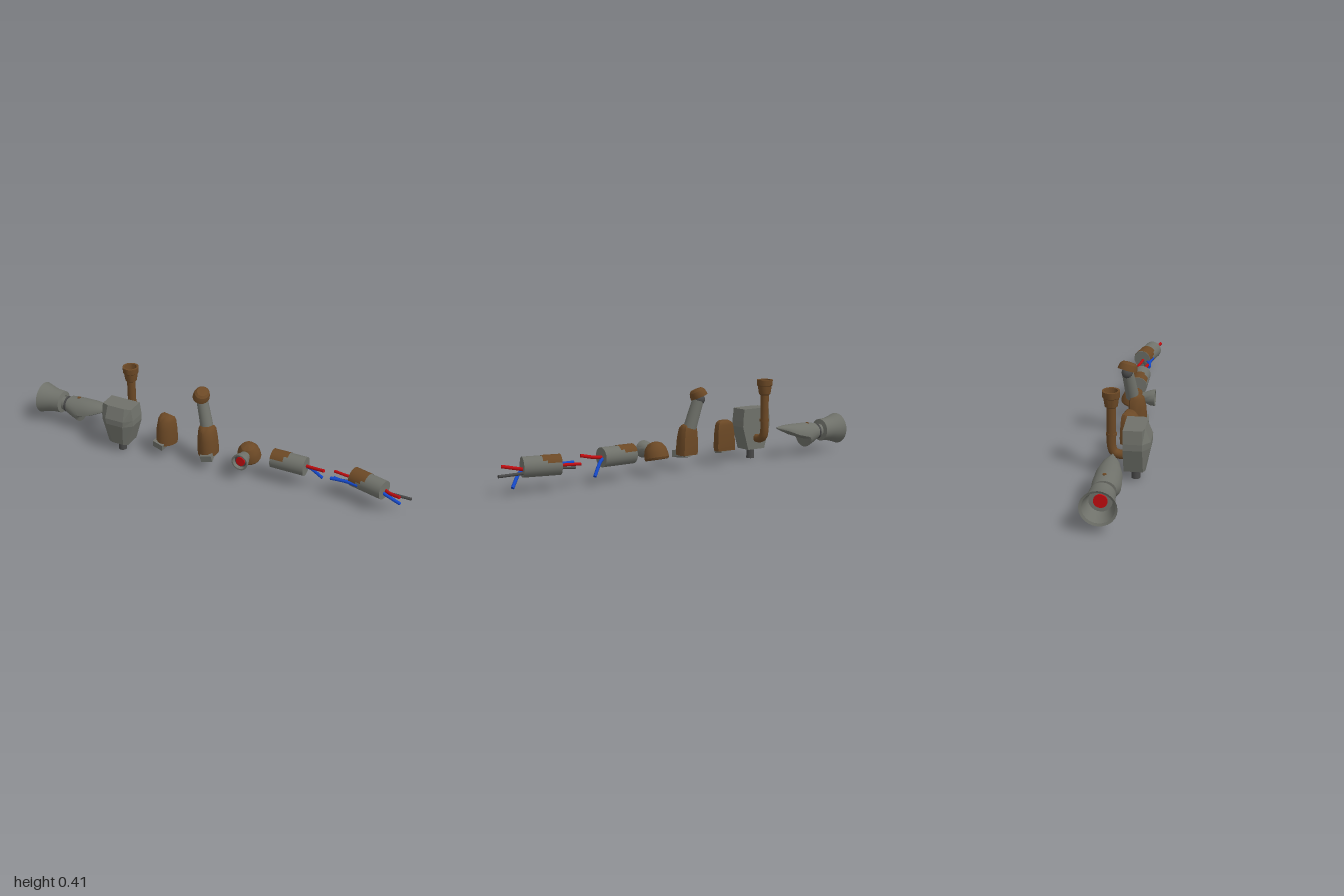
import * as THREE from 'three';
import { toCreasedNormals } from 'three/addons/utils/BufferGeometryUtils.js';

const paint = (name, color) => {
  const m = new THREE.MeshStandardMaterial({ color, side: THREE.DoubleSide });
  m.name = name;
  return m;
};
const V = (x, y, z) => new THREE.Vector3(x, y, z);

export function createModel() {
  const root = new THREE.Group();
  const gray = paint('steel gray', 0x6f716a), dark = paint('dark steel', 0x484848);
  const brown = paint('rust brown', 0x6b4825), red = paint('red', 0xc00c10), blue = paint('blue', 0x1448c8);

  const add = (name, geo, mat, pos = [0, 0, 0], rot = [0, 0, 0], parent = root) => {
    const m = new THREE.Mesh(geo, mat);
    m.name = name;
    m.position.set(...pos);
    m.rotation.set(...rot);
    parent.add(m);
    return m;
  };
  const group = (name, pos, rot = [0, 0, 0]) => {
    const g = new THREE.Group();
    g.name = name;
    g.position.set(...pos);
    g.rotation.set(...rot);
    root.add(g);
    return g;
  };
  const alongX = [0, 0, -Math.PI / 2];
  const cyl = (r1, r2, h, n = 20) => new THREE.CylinderGeometry(r1, r2, h, n);
  const lathe = (pts, n = 24) => toCreasedNormals(
    new THREE.LatheGeometry(pts.map(p => new THREE.Vector2(...p)), n).toNonIndexed(), 0.5);
  const wire = (name, mat, pts, r) => {
    const curve = new THREE.CatmullRomCurve3(pts.map(p => V(...p)));
    add(name, new THREE.TubeGeometry(curve, 12, r, 8), mat);
    // closed wire end
    const cap = add(name + 'End', new THREE.CircleGeometry(r, 8), mat, curve.getPoint(1).toArray());
    cap.quaternion.setFromUnitVectors(V(0, 0, 1), curve.getTangent(1));
  };

  // Skin between rings that run counter-clockwise around the loft direction
  const loft = (rings, crease = 0.6) => {
    const p = [], n = rings[0].length;
    const tri = (...v) => v.forEach(q => p.push(q.x, q.y, q.z));
    for (let i = 0; i < rings.length - 1; i++)
      for (let j = 0; j < n; j++) {
        const k = (j + 1) % n, a = rings[i], b = rings[i + 1];
        tri(a[j], a[k], b[k]);
        tri(a[j], b[k], b[j]);
      }
    [rings[0], rings[rings.length - 1]].forEach((r, end) => {
      const c = r.reduce((s, q) => s.add(q), V(0, 0, 0)).divideScalar(n);
      for (let j = 0; j < n; j++) {
        const k = (j + 1) % n;
        end ? tri(c, r[j], r[k]) : tri(c, r[k], r[j]);
      }
    });
    const g = new THREE.BufferGeometry();
    g.setAttribute('position', new THREE.Float32BufferAttribute(p, 3));
    g.computeVertexNormals();
    return toCreasedNormals(g, crease);
  };

  // Pointed arm cover with a flared nozzle
  const arm = group('nozzleArm', [0, 0.119, -0.04]);
  add('nozzle', lathe([[0, 0.07], [0.05, 0.07], [0.057, 0.04], [0.069, 0.005], [0.08, 0],
    [0.069, 0.035], [0.06, 0.07], [0.057, 0.12], [0.035, 0.125]]), gray, [-1, 0, 0], alongX, arm);
  add('nozzleCore', cyl(0.03, 0.03, 0.008), red, [-0.933, 0, 0], alongX, arm);
  add('neck', cyl(0.038, 0.034, 0.06), gray, [-0.855, -0.005, 0], alongX, arm);
  add('neckRing', cyl(0.041, 0.041, 0.01), dark, [-0.852, -0.005, 0], alongX, arm);
  const cover = [ // x, half width, top, middle, bottom
    [-0.835, 0.052, 0.16, 0.117, 0.072], [-0.8, 0.06, 0.164, 0.11, 0.055],
    [-0.768, 0.063, 0.167, 0.1, 0.04], [-0.755, 0.063, 0.168, 0.1, 0.086],
    [-0.69, 0.058, 0.168, 0.115, 0.106], [-0.63, 0.038, 0.166, 0.138, 0.13],
    [-0.577, 0.003, 0.16, 0.156, 0.152]];
  add('armCover', loft(cover.map(([x, w, top, mid, bot]) => Array.from({ length: 20 }, (_, j) => {
    const t = j / 20 * Math.PI * 2, s = Math.sin(t);
    return V(x, mid + s * (s > 0 ? top - mid : mid - bot), -0.04 - w * Math.cos(t));
  }))), gray);
  add('rustSpot', cyl(0.009, 0.009, 0.004, 10), brown, [-0.785, 0.165, -0.045]);

  // Faceted torso on a post
  const torso = [ // y, half width, front half width, front z
    [0.052, 0.053, 0.03, 0.095], [0.17, 0.088, 0.046, 0.12],
    [0.2, 0.088, 0.05, 0.12], [0.262, 0.08, 0.047, 0.095]];
  add('torso', loft(torso.map(([y, w, f, z]) =>
    [[w, 0], [-w, 0], [-w, 0.086], [-f, z], [f, z], [w, 0.086]].map(([x, q]) => V(x - 0.475, y, q))), 0.1), gray);
  add('torsoPost', cyl(0.02, 0.02, 0.06), dark, [-0.475, 0.03, 0.048]);

  // Exhaust stack behind the torso
  add('exhaustPipe', new THREE.TubeGeometry(new THREE.CatmullRomCurve3(
    [V(-0.475, 0.35, -0.06), V(-0.475, 0.25, -0.06), V(-0.475, 0.15, -0.06), V(-0.475, 0.122, -0.05),
      V(-0.475, 0.11, -0.025), V(-0.475, 0.11, 0.01)]), 30, 0.021, 14), brown);
  add('pipeCollar', cyl(0.024, 0.024, 0.012), brown, [-0.475, 0.208, -0.06]);
  add('exhaustCup', lathe([[0.02, 0.335], [0.029, 0.342], [0.035, 0.382], [0.039, 0.386],
    [0.04, 0.414], [0.03, 0.414], [0.025, 0.37], [0, 0.37]]), brown, [-0.475, 0, -0.06]);
  add('cupHole', cyl(0.024, 0.024, 0.004), dark, [-0.475, 0.372, -0.06]);

  // Shin shells: flat back, rounded front, foot block below
  const shell = [ // y, half width, back z, front z
    [0.072, 0.052, -0.04, 0.046], [0.1, 0.053, -0.042, 0.046], [0.155, 0.05, -0.04, 0.042],
    [0.2, 0.044, -0.038, 0.032], [0.215, 0.037, -0.034, 0.018], [0.222, 0.025, -0.026, 0.004]];
  const shinShell = (name, pos, rot, side) => {
    const g = group(name, pos, rot);
    add('shell', loft(shell.map(([y, w, b, f]) => {
      const ring = [V(w * 0.9, y, b), V(-w * 0.9, y, b)];
      for (let j = 0; j <= 12; j++) {
        const t = Math.PI * (1 - j / 12);
        ring.push(V(w * Math.cos(t), y, b + 0.015 + (f - b - 0.015) * Math.sin(t)));
      }
      return ring;
    })), brown, [0, 0, 0], [0, 0, 0], g);
    add('footBlock', new THREE.BoxGeometry(0.058, 0.034, 0.07), gray, [side * 0.008, 0.075, 0.018], [0.15, 0, side * 0.15], g);
  };
  shinShell('rightShin', [-0.257, 0, 0], [0, -0.18, -0.02], -1);
  shinShell('leftShin', [-0.018, 0, 0], [0, 0.18, 0.04], 1);

  // Thigh rod and knee cap above the left shin
  const low = V(-0.033, 0.205, -0.022), high = V(-0.068, 0.338, -0.04);
  const thigh = add('thigh', cyl(0.028, 0.032, low.distanceTo(high)), gray, low.clone().lerp(high, 0.5).toArray());
  thigh.quaternion.setFromUnitVectors(V(0, 1, 0), high.clone().sub(low).normalize());
  add('kneeJoint', new THREE.SphereGeometry(0.027, 16, 10), dark, [-0.076, 0.342, -0.042]);
  const cap = add('kneeCap', lathe([[0, 0], [0.047, 0], [0.046, 0.014], [0.041, 0.03], [0.03, 0.04], [0, 0.043]]),
    brown, [-0.075, 0.354, -0.042], [0.25, 0, -0.32]);
  cap.scale.set(0.86, 1, 1);

  // Dome with a forward-facing eye socket
  add('dome', lathe([[0, 0], [0.054, 0], [0.059, 0.009], [0.057, 0.03], [0.05, 0.055], [0.034, 0.076], [0.016, 0.084], [0, 0.086]]),
    brown, [0.182, 0.076, -0.052], [0.25, 0, 0]);
  add('socket', lathe([[0.024, 0], [0.03, 0.03], [0.039, 0.052], [0.042, 0.075], [0.035, 0.075], [0.03, 0.055], [0, 0.055]]),
    gray, [0.182, 0.112, -0.01], [Math.PI / 2, 0, 0]);
  add('socketFloor', cyl(0.031, 0.031, 0.004), dark, [0.182, 0.112, 0.047], [Math.PI / 2, 0, 0]);
  add('eye', cyl(0.023, 0.023, 0.008), red, [0.182, 0.112, 0.052], [Math.PI / 2, 0, 0]);

  // Limb casings with stepped rust plates; angles run from the back over the top to the front
  const limb = (name, pos, rot, plates) => {
    const g = group(name, pos, rot), len = 0.17, r = 0.046;
    add('casing', cyl(r, r, len, 24), gray, [0, 0, 0], alongX, g);
    plates.forEach(([l, from, to]) => add('rustPlate',
      new THREE.CylinderGeometry(r + 0.0015, r + 0.0015, l, 16, 1, true, Math.PI * from, Math.PI * (to - from)),
      brown, [(l - len) / 2, 0, 0], alongX, g));
  };
  limb('upperLimb', [0.397, 0.118, -0.038], [0, 0, 0], [[0.066, 1.12, 1.86], [0.085, 1.22, 1.68]]);
  wire('redWire', red, [[0.47, 0.118, -0.045], [0.52, 0.122, -0.035], [0.58, 0.134, -0.018]], 0.008);
  wire('blueWire', blue, [[0.47, 0.115, -0.045], [0.495, 0.105, -0.055], [0.548, 0.045, -0.088]], 0.008);

  limb('lowerLimb', [0.793, 0.115, -0.042], [0, -0.26, 0],
    [[0.04, 1.12, 2.02], [0.065, 1.12, 1.93], [0.085, 1.2, 1.82]]);
  wire('redWireOut', red, [[0.868, 0.106, -0.042], [0.9, 0.111, -0.014], [0.958, 0.122, 0.014]], 0.008);
  wire('blueWireOut', blue, [[0.86, 0.105, -0.018], [0.885, 0.094, -0.018], [0.943, 0.037, -0.058]], 0.008);
  wire('rodOut', dark, [[0.86, 0.091, -0.041], [0.93, 0.091, -0.041], [1, 0.091, -0.041]], 0.007);
  wire('redWireIn', red, [[0.73, 0.112, -0.055], [0.68, 0.11, -0.063], [0.612, 0.108, -0.076]], 0.007);
  wire('blueWireIn', blue, [[0.752, 0.108, -0.009], [0.69, 0.108, -0.018], [0.614, 0.107, -0.014]], 0.008);
  wire('blueWireInLow', blue, [[0.73, 0.108, -0.045], [0.68, 0.104, -0.025], [0.625, 0.102, -0.035]], 0.006);
  wire('rodIn', dark, [[0.73, 0.1, -0.055], [0.68, 0.094, -0.045], [0.62, 0.087, -0.04]], 0.006);
  return root;
}
